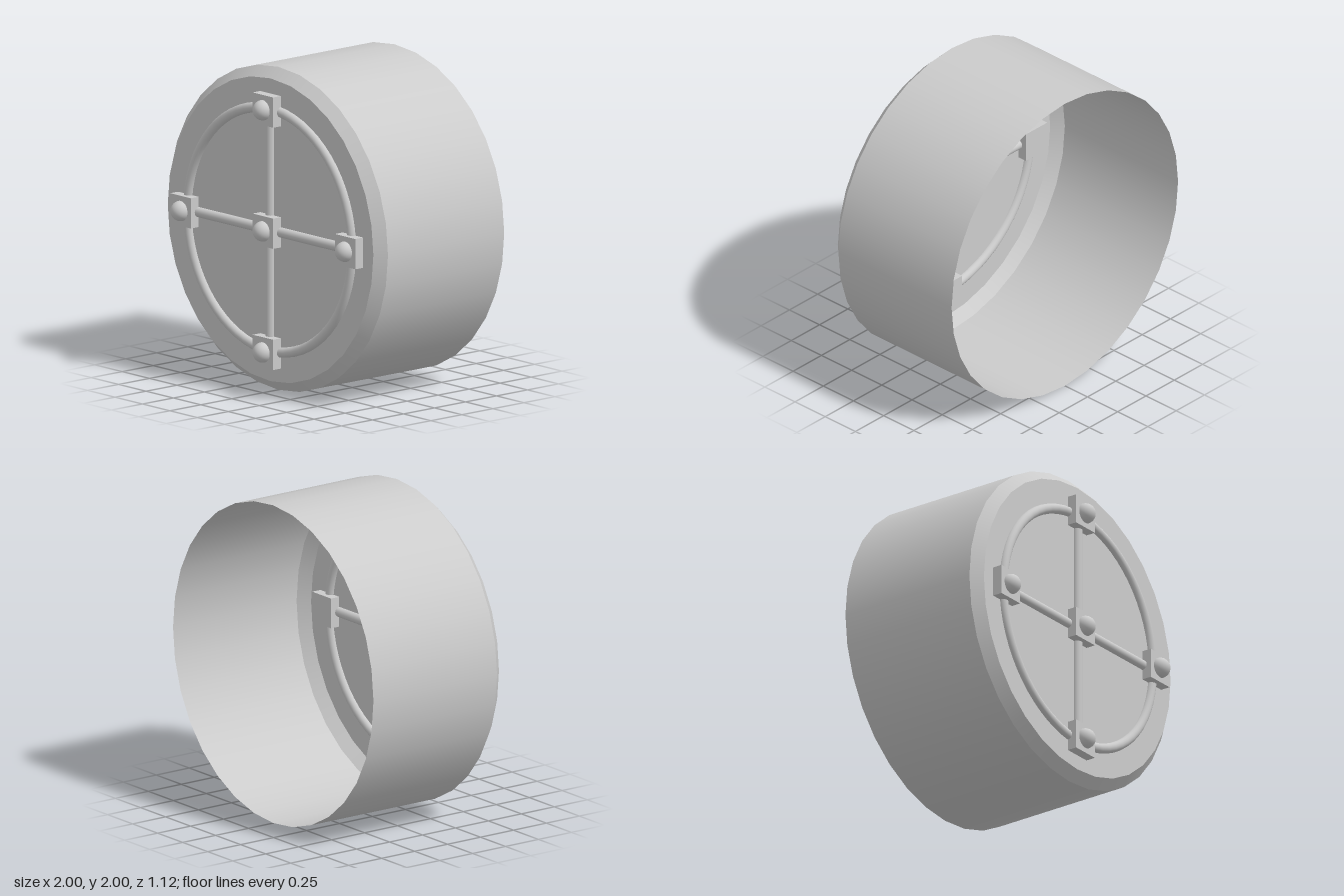
import * as THREE from 'three';

const U = 1 / 16; // base module for all dimensions
const FACE_Z = 7 * U; // plane of the front plate

export function createModel() {
  const model = new THREE.Group();
  const solid = new THREE.MeshStandardMaterial({ color: 0xcccccc });
  const sheet = new THREE.MeshStandardMaterial({ color: 0xcccccc, side: THREE.DoubleSide });

  const add = (name, geometry, material, x = 0, y = 0, z = FACE_Z) => {
    const mesh = new THREE.Mesh(geometry, material);
    mesh.name = name;
    mesh.position.set(x, y + 1, z);
    model.add(mesh);
    return mesh;
  };

  // Open-ended tube lying along z
  const tube = (front, back, depth) =>
    new THREE.CylinderGeometry(front, back, depth, 32, 1, true).rotateX(Math.PI / 2);

  // Thin drum, open at the back: wall, chamfer and front plate
  add('drumWall', tube(1, 1, 15 * U), sheet, 0, 0, -1.5 * U);
  add('drumChamfer', tube(15 * U, 1, U), sheet, 0, 0, 6.5 * U);
  add('frontPlate', new THREE.CircleGeometry(15 * U, 32), sheet);

  // Ring and crossed bars, half sunk through the plate
  add('ring', new THREE.TorusGeometry(0.75, U / 2, 16, 64), solid);
  const bar = new THREE.CylinderGeometry(U / 2, U / 2, 1.5, 16);
  add('verticalBar', bar, solid);
  add('horizontalBar', bar, solid).rotation.z = Math.PI / 2;

  // Square blocks with domed studs at the joints
  const block = new THREE.BoxGeometry(3 * U, 3 * U, 2 * U);
  const stud = new THREE.SphereGeometry(U, 24, 16);
  const joints = {
    center: [0, 0], top: [0, 0.75], bottom: [0, -0.75], left: [0.75, 0], right: [-0.75, 0],
  };
  for (const [place, [x, y]] of Object.entries(joints)) {
    add(place + 'Block', block, solid, x, y);
    add(place + 'Stud', stud, solid, x, y, FACE_Z + U);
  }

  return model;
}
